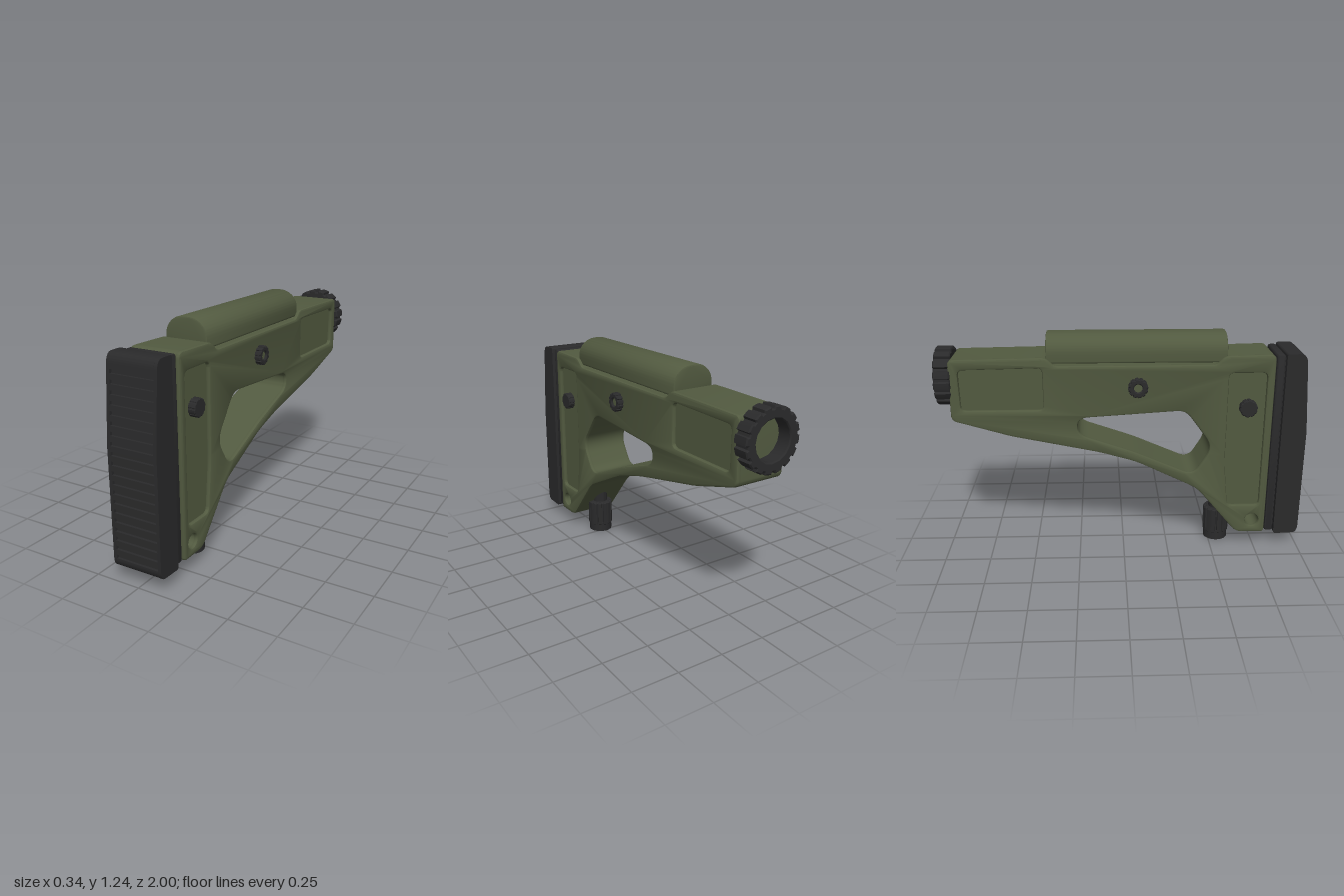
import * as THREE from 'three';
import { toCreasedNormals } from 'three/addons/utils/BufferGeometryUtils.js';

const green = new THREE.MeshStandardMaterial({ name: 'olive green', color: 0x525a40 });
const black = new THREE.MeshStandardMaterial({ name: 'rubber black', color: 0x2a2a2b });

// Closed path through points [u, v, cornerRadius]
function rounded(points, Type = THREE.Shape) {
  const path = new Type();
  const n = points.length;
  points.forEach(([u, v, r = 0], i) => {
    const p = new THREE.Vector2(u, v);
    const toward = (q) => {
      const d = new THREE.Vector2(q[0], q[1]).sub(p);
      return d.setLength(Math.min(r, d.length() * 0.49)).add(p);
    };
    const a = toward(points[(i + n - 1) % n]);
    const b = toward(points[(i + 1) % n]);
    if (i === 0) path.moveTo(a.x, a.y);
    else path.lineTo(a.x, a.y);
    if (r > 0) path.quadraticCurveTo(p.x, p.y, b.x, b.y);
  });
  path.closePath();
  return path;
}

function circle(u, v, r, Type = THREE.Path) {
  const path = new Type();
  path.absarc(u, v, r, 0, Math.PI * 2, false);
  return path;
}

// Extrusion from depth 0 to depth, bevel kept inside the outline
function extrude(shape, depth, bevel = 0, steps = 2) {
  return new THREE.ExtrudeGeometry(shape, {
    depth: depth - 2 * bevel, curveSegments: 8, bevelEnabled: bevel > 0,
    bevelThickness: bevel, bevelSize: bevel, bevelOffset: -bevel, bevelSegments: steps,
  }).translate(0, 0, bevel);
}

// Side profile in (z, y), extruded between x0 and x1
function sideways(shape, x0, x1, bevel = 0) {
  return extrude(shape, x1 - x0, bevel).rotateY(-Math.PI / 2).translate(x1, 0, 0);
}

// Round grip outline with evenly spaced notches
function gripShape(r, notch, teeth) {
  const pts = [];
  for (let i = 0; i < teeth; i++) {
    [[0, r], [0.32, r], [0.62, r], [0.7, r - notch], [0.92, r - notch]].forEach(([f, q]) => {
      const a = ((i + f) / teeth) * Math.PI * 2;
      pts.push(new THREE.Vector2(Math.cos(a) * q, Math.sin(a) * q));
    });
  }
  return new THREE.Shape(pts);
}

export function createModel() {
  const model = new THREE.Group();
  model.name = 'rifleStock';
  const add = (name, geo, mat, crease = 0.6) => {
    const mesh = new THREE.Mesh(toCreasedNormals(geo, crease), mat);
    mesh.name = name;
    model.add(mesh);
    return mesh;
  };

  // Main body: core, with beveled skins that leave recessed panels
  const outline = [
    [0.807, 0.085, 0.02], [0.807, 1.133, 0.035], [0.535, 1.127, 0.03], [0.49, 1.08, 0.02],
    [-0.365, 1.08, 0.02], [-0.41, 1.125, 0.03], [-0.922, 1.117, 0.03], [-0.925, 0.783, 0.03],
    [-0.61, 0.69, 0.04], [-0.13, 0.59, 0.05], [0.07, 0.532, 0.05], [0.412, 0.365, 0.05],
    [0.645, 0.085, 0.04],
  ];
  const opening = [
    [0.335, 0.828, 0.05], [-0.25, 0.79, 0.06], [-0.25, 0.695, 0.06], [0.055, 0.59, 0.04],
    [0.385, 0.447, 0.06], [0.49, 0.615, 0.07],
  ];
  const sidePanel = [
    [0.765, 0.257, 0.03], [0.765, 1.035, 0.03], [0.56, 1.035, 0.03], [0.56, 0.52, 0.05],
    [0.587, 0.257, 0.03],
  ];
  const endPanel = [[-0.43, 0.838, 0.03], [-0.43, 1.07, 0.03], [-0.872, 1.062, 0.03], [-0.868, 0.838, 0.03]];
  const bodyShape = (extra) => {
    const shape = rounded(outline);
    shape.holes.push(rounded(opening, THREE.Path), circle(0.732, 0.162, 0.038));
    extra.forEach((p) => shape.holes.push(rounded(p, THREE.Path)));
    return shape;
  };
  add('bodyCore', sideways(bodyShape([]), -0.118, 0.118), green);
  add('leftBodySkin', sideways(bodyShape([sidePanel, endPanel]), 0.106, 0.14, 0.012), green);
  add('rightBodySkin', sideways(bodyShape([sidePanel, endPanel]), -0.14, -0.106, 0.012), green);

  // Domed cheek rest on two posts
  const dome = rounded([
    [-0.12, 1.09, 0.01], [0.12, 1.09, 0.01], [0.12, 1.165, 0.03], [0.098, 1.205, 0.03],
    [0.055, 1.234, 0.03], [0, 1.24, 0.03], [-0.055, 1.234, 0.03], [-0.098, 1.205, 0.03],
    [-0.12, 1.165, 0.03],
  ]);
  add('cheekRest', extrude(dome, 0.96, 0.008).translate(0, 0, -0.41), green);
  for (const z of [0.345, -0.2]) {
    add('cheekRestPost', new THREE.CylinderGeometry(0.026, 0.026, 0.06, 20).translate(0, 1.08, z), green);
  }

  // Butt pad: solid side strips around a grooved middle
  const faceZ = (y) => (y < 0.7 ? 1 : 1 - ((y - 0.7) / 0.42) * 0.03);
  const padStart = [[0.862, 1.137, 0.015], [0.862, 0.075, 0.015], [0.988, 0.08, 0.02], [1, 0.11, 0.02]];
  const padEnd = [[1, 0.7], [faceZ(1.11), 1.11, 0.03], [0.95, 1.137, 0.02]];
  const grooves = [];
  for (let i = 19; i >= 0; i--) {
    const lo = 1.042 - i * 0.0482, hi = lo + 0.02;
    grooves.push([faceZ(lo), lo], [faceZ(lo) - 0.014, lo], [faceZ(hi) - 0.014, hi], [faceZ(hi), hi]);
  }
  const plainPad = () => rounded([...padStart, ...padEnd]);
  const groovedPad = rounded([...padStart, ...grooves, padEnd[1], padEnd[2]]);
  add('buttPadMiddle', sideways(groovedPad, -0.122, 0.122), black, 0.5);
  add('buttPadLeftEdge', sideways(plainPad(), 0.122, 0.14), black, 0.5);
  add('buttPadRightEdge', sideways(plainPad(), -0.14, -0.122), black, 0.5);

  // Spacer plate between pad and body
  const spacer = rounded([[0.812, 0.088, 0.015], [0.858, 0.088, 0.015], [0.858, 1.13, 0.015], [0.812, 1.13, 0.015]]);
  add('padSpacer', sideways(spacer, -0.127, 0.127, 0.008), black);
  add('padNeck', new THREE.BoxGeometry(0.22, 1, 0.08).translate(0, 0.61, 0.835), black);

  // Notched ring on the tube end
  const ring = gripShape(0.16, 0.013, 16);
  ring.holes.push(circle(0, 0, 0.102));
  add('tubeRing', extrude(ring, 0.088, 0.006, 1).translate(0, 1, -1), black);

  // Side knobs and round buttons, mirrored
  for (const s of [1, -1]) {
    const side = s > 0 ? 'left' : 'right';
    const knobShape = gripShape(0.053, 0.005, 12);
    knobShape.holes.push(circle(0, 0, 0.023));
    add(side + 'Knob', extrude(knobShape, 0.045, 0.005, 1)
      .rotateY((s * Math.PI) / 2).translate(s * 0.127, 0.965, 0.075), black);
    add(side + 'KnobScrew', new THREE.CylinderGeometry(0.024, 0.024, 0.03, 24)
      .rotateZ(Math.PI / 2).translate(s * 0.145, 0.965, 0.075), green);
    add(side + 'Button', extrude(gripShape(0.048, 0.003, 10), 0.05, 0.004, 1)
      .rotateY((s * Math.PI) / 2).translate(s * 0.106, 0.84, 0.672), black);
  }

  // Fluted foot knob on a stem below the body
  const foot = (name, geo) => add(name, geo.translate(0, 0, 0.547), black);
  foot('footKnobGrip', extrude(gripShape(0.074, 0.009, 14), 0.155, 0.008, 1).rotateX(-Math.PI / 2).translate(0, 0.04, 0));
  foot('footKnobBase', new THREE.CylinderGeometry(0.069, 0.069, 0.06, 36).translate(0, 0.03, 0));
  foot('footStem', new THREE.CylinderGeometry(0.045, 0.045, 0.13, 28).translate(0, 0.235, 0));

  return model;
}
